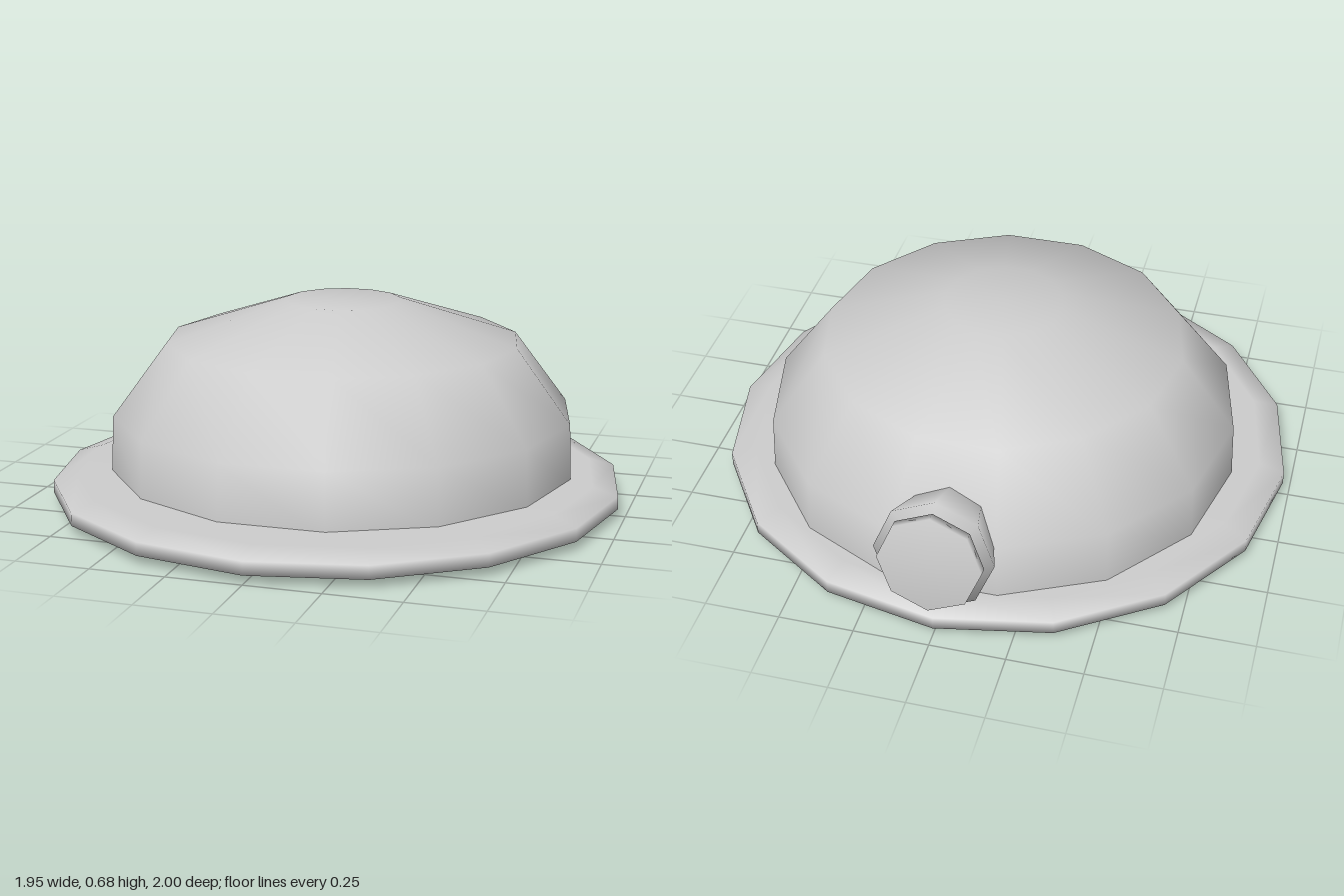
import * as THREE from 'three';

// Closed or open turned part from [radius, height] pairs, listed bottom to top
function turned(name, profile, sides, material) {
  const points = profile.map(([r, y]) => new THREE.Vector2(r, y));
  const geometry = new THREE.LatheGeometry(points, sides, Math.PI / 2);
  const mesh = new THREE.Mesh(geometry, material);
  mesh.name = name;
  return mesh;
}

export function createModel() {
  const model = new THREE.Group();
  model.name = 'domedBody';
  const grey = new THREE.MeshStandardMaterial({ color: 0xcccccc });
  grey.name = 'light grey';

  // Sixteen-sided base plate with bevelled rim
  const base = new THREE.Group();
  base.name = 'base';
  base.position.z = 0.022;
  base.add(turned('basePlate', [[0.89, 0], [0.977, 0.03], [0.977, 0.075], [0.89, 0.1], [0, 0.1]], 16, grey));
  const underside = new THREE.Mesh(new THREE.CircleGeometry(0.89, 16), grey);
  underside.name = 'baseUnderside';
  underside.rotation.x = Math.PI / 2;
  base.add(underside);
  model.add(base);

  // Fourteen-sided dome with a small flat top
  const dome = turned('dome', [[0.805, 0.08], [0.797, 0.29], [0.61, 0.54], [0.2, 0.675], [0, 0.675]], 14, grey);
  dome.position.z = -0.047;
  model.add(dome);

  // Flared spout at the back, tilted slightly upward, with a loose cap
  const spout = new THREE.Group();
  spout.name = 'spout';
  spout.position.set(0, 0.308, -0.92);
  spout.rotation.x = -1.416;
  spout.add(turned('spoutCone', [[0, -0.3], [0.11, -0.3], [0.195, 0], [0, 0]], 8, grey));
  spout.add(turned('spoutCap', [[0, 0.022], [0.168, 0.022], [0.168, 0.054], [0, 0.054]], 8, grey));
  model.add(spout);

  return model;
}
